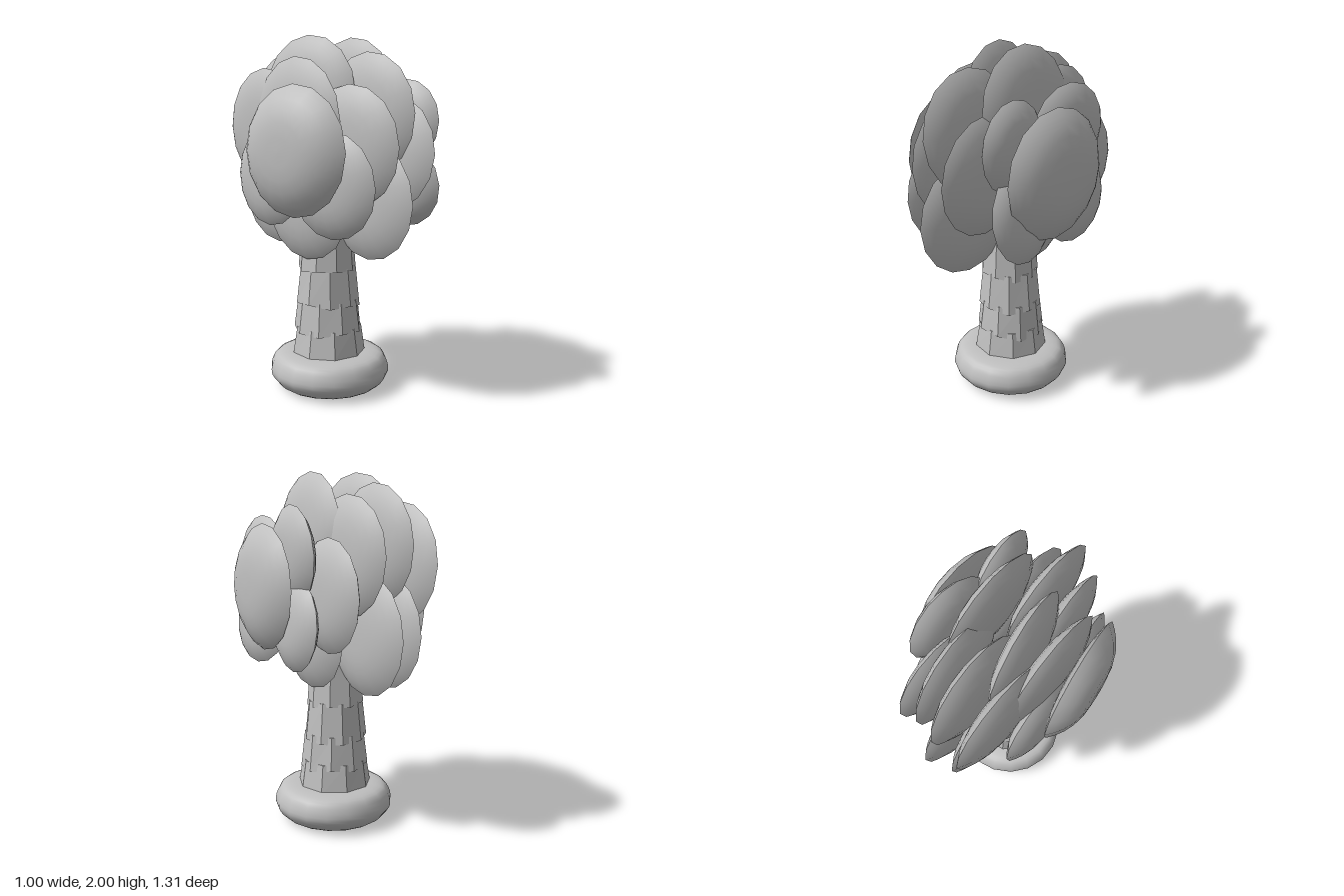
import * as THREE from 'three';

const stone = new THREE.MeshStandardMaterial({ color: 0xc0c0c0 });
stone.name = 'plain grey';

// Clumps: x, y, z, radius, yaw, roll
const crown = [
  [-0.13, 1.67, -0.03, 0.325, 0.12, 0],
  [0.14, 1.67, 0.05, 0.325, -0.03, 0.06],
  [-0.26, 1.53, 0.015, 0.34, -0.02, 0.03],
  [0.31, 1.55, -0.08, 0.26, -0.12, -0.06],
  [0.28, 1.53, 0.31, 0.235, 0.05, 0],
];
const front = [
  [-0.01, 1.57, 0.31, 0.32, -0.03, 0.05],
  [0.115, 1.36, 0.33, 0.32, 0.02, -0.05],
  [-0.14, 1.4, 0.3, 0.32, 0.05, 0.03],
  [-0.265, 1.2, 0.29, 0.28, 0.1, 0.03],
  [0.31, 1.18, 0.27, 0.255, 0.1, 0.15],
  [-0.03, 1.11, 0.33, 0.32, -0.06, 0],
];
const lowerRing = [
  [-0.2, 1.09, 0.02, 0.32, 0.03, 0.03],
  [0.155, 1.12, 0, 0.32, 0, -0.03],
  [0.325, 1.18, -0.12, 0.25, -0.08, 0.05],
  [-0.32, 1.24, -0.13, 0.28, 0, -0.03],
];
const back = [
  [-0.21, 1.5, -0.31, 0.33, -0.03, 0.02],
  [-0.12, 1.14, -0.3, 0.32, 0, 0],
  [-0.05, 1.6, -0.31, 0.32, 0, -0.03],
  [0.02, 1.13, -0.33, 0.33, -0.03, 0],
  [0.1, 1.54, -0.27, 0.32, 0.04, 0],
  [0.22, 1.34, -0.28, 0.3, -0.06, 0],
];

function add(parent, name, geometry) {
  const mesh = new THREE.Mesh(geometry, stone);
  mesh.name = name;
  parent.add(mesh);
  return mesh;
}

function addGroup(parent, name) {
  const group = new THREE.Group();
  group.name = name;
  parent.add(group);
  return group;
}

// One smooth dome of a leaf clump, bulging along +x or -x with a blunt edge
function dome(radius, depth, side) {
  const points = [];
  for (let i = 0; i <= 7; i++) {
    const t = Math.sin((i / 7) * (Math.PI / 2));
    points.push(new THREE.Vector2(radius * t, side * depth * (1 - Math.pow(t, 3.2))));
  }
  if (side > 0) points.reverse();
  return new THREE.LatheGeometry(points, 16).rotateZ(-Math.PI / 2);
}

// Lens-shaped clump of two domes meeting at a rim
function addClump(parent, [x, y, z, r, yaw, roll], right = 0.072, left = 0.072) {
  const clump = addGroup(parent, 'leafClump');
  clump.position.set(x, y, z);
  clump.rotation.set(0, yaw, roll);
  add(clump, 'rightDome', dome(r, right, 1));
  add(clump, 'leftDome', dome(r, left, -1));
}

// Faceted trunk section with an uneven, slanted lower edge
function barkBand(y0, y1, r0, r1, turn) {
  const g = new THREE.CylinderGeometry(r1, r0, y1 - y0, 9, 1).toNonIndexed();
  g.rotateY(turn).translate(-0.01 - 0.012 * y1, (y0 + y1) / 2, 0.01);
  const p = g.attributes.position;
  for (let i = 0; i < p.count; i++) {
    if (p.getY(i) < y0 + 0.001) {
      p.setY(i, y0 - 0.06 * p.getX(i) + 0.012 * Math.sin(p.getZ(i) * 40));
    }
  }
  g.computeVertexNormals();
  return g;
}

export function createModel() {
  const model = new THREE.Group();
  model.name = 'tree';

  // Cushion-like round base
  const profile = new THREE.SplineCurve([
    [0, 0], [0.2, 0], [0.28, 0.014], [0.33, 0.06], [0.345, 0.11],
    [0.318, 0.18], [0.26, 0.206], [0.15, 0.21], [0, 0.21],
  ].map(([x, y]) => new THREE.Vector2(x, y))).getPoints(24);
  profile.forEach((v) => v.set(Math.max(0, v.x), Math.max(0, v.y)));
  add(model, 'base', new THREE.LatheGeometry(profile, 18)).position.set(-0.01, 0, 0.015);

  // Trunk of overlapping bark bands
  const trunk = addGroup(model, 'trunk');
  [
    [0.19, 0.36, 0.215, 0.19, 0.1],
    [0.33, 0.52, 0.198, 0.175, 0.35],
    [0.485, 0.71, 0.184, 0.16, 0],
    [0.69, 1.2, 0.168, 0.13, 0.25],
  ].forEach((band) => add(trunk, 'barkBand', barkBand(...band)));

  // Foliage, with one big clump capping each side
  const foliage = addGroup(model, 'foliage');
  for (const region of [crown, front, lowerRing, back]) {
    region.forEach((clump) => addClump(foliage, clump));
  }
  addClump(foliage, [0.39, 1.37, 0.11, 0.345, -0.06, 0], 0.105, 0.045);
  addClump(foliage, [-0.375, 1.375, 0.12, 0.345, 0.11, 0], 0.045, 0.12);
  return model;
}
